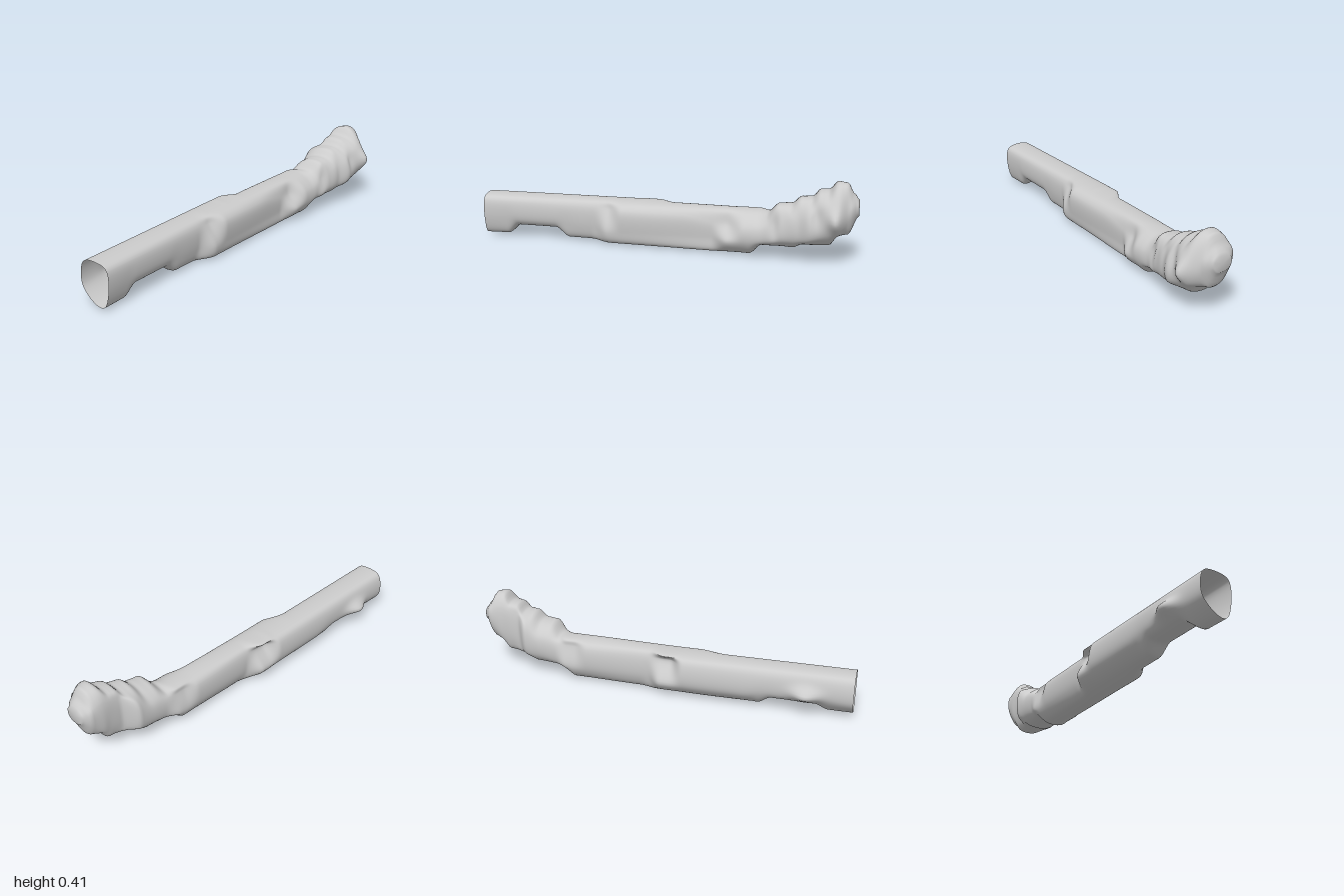
import * as THREE from 'three';

// Each track lists [z, value] from the open front end to the closed rear knob.
const tracks = {
  left: [[1, -0.165], [0.03, -0.165], [-0.05, -0.11], [-0.5, -0.11], [-0.58, -0.085], [-0.73, -0.085], [-0.8, -0.03], [-0.96, -0.03], [-1, 0.005]],
  right: [[1, -0.005], [0.38, -0.005], [0.29, 0.042], [-0.26, 0.042], [-0.36, 0.095], [-0.54, 0.1], [-0.6, 0.12], [-0.7, 0.135], [-0.78, 0.168], [-0.9, 0.168], [-0.96, 0.13], [-1, 0.095]],
  bottom: [[1, 0.006], [0.88, 0.008], [0.81, 0.057], [0.6, 0.057], [0.52, 0.008], [0.2, 0.004], [-0.46, 0.004], [-0.53, 0.057], [-0.68, 0.06], [-0.74, 0.085], [-0.86, 0.09], [-0.91, 0.14], [-0.95, 0.15], [-1, 0.24]],
  top: [[1, 0.214], [-0.55, 0.214], [-0.61, 0.263], [-0.67, 0.268], [-0.72, 0.305], [-0.77, 0.31], [-0.81, 0.345], [-0.85, 0.35], [-0.895, 0.395], [-0.94, 0.39], [-0.975, 0.34], [-1, 0.31]],
  bottomLeft: [[1, -0.085], [0.88, -0.09], [0.81, -0.135], [0.6, -0.135], [0.5, -0.1], [0, -0.09], [-0.1, -0.07], [-0.46, -0.06], [-0.7, -0.04], [-0.85, 0], [-1, 0.025]],
  bottomRight: [[1, -0.035], [0.4, -0.03], [0.28, 0.02], [-0.4, 0.035], [-0.6, 0.06], [-0.8, 0.1], [-0.95, 0.09], [-1, 0.075]],
  topLeft: [[1, -0.14], [0.05, -0.14], [-0.05, -0.09], [-0.5, -0.08], [-0.6, -0.02], [-0.85, -0.01], [-0.9, 0.015], [-1, 0.03]],
  topRight: [[1, -0.03], [0.35, -0.03], [0.2, 0], [-0.5, 0.02], [-0.6, 0.08], [-0.9, 0.095], [-1, 0.075]],
  highLeft: [[1, 0.18], [-0.5, 0.185], [-0.65, 0.21], [-0.8, 0.3], [-0.9, 0.335], [-0.96, 0.32], [-1, 0.295]],
  highRight: [[1, 0.19], [-0.1, 0.175], [-0.35, 0.145], [-0.5, 0.15], [-0.7, 0.22], [-0.88, 0.3], [-1, 0.295]],
  low: [[1, 0.08], [0.8, 0.09], [0.6, 0.09], [0.45, 0.07], [-0.45, 0.07], [-0.7, 0.11], [-0.88, 0.16], [-1, 0.26]],
};

// Smooth stepping between the entries of a track
function at(name, z) {
  const t = tracks[name];
  for (let i = 1; i < t.length; i++) {
    if (z >= t[i][0]) {
      const f = THREE.MathUtils.clamp((z - t[i][0]) / (t[i - 1][0] - t[i][0]), 0, 1);
      return THREE.MathUtils.lerp(t[i][1], t[i - 1][1], f * f * (3 - 2 * f));
    }
  }
  return t[t.length - 1][1];
}

const bump = (y, z, cy, cz, ry, rz) => Math.exp(-(((y - cy) / ry) ** 2) - ((z - cz) / rz) ** 2);

// Closed cross-section, counter-clockwise seen from the front
function section(z, sides) {
  const v = (name, dz = 0) => at(name, z + dz);
  // the side steps slant, so the upper side points lag behind the lower ones
  const slant = THREE.MathUtils.clamp((z + 0.7) / 0.2, 0, 1);
  const curve = new THREE.CatmullRomCurve3([
    [v('bottomRight'), v('bottom')],
    [v('right'), v('low')],
    [v('right', 0.08 * slant), v('highRight')],
    [v('topRight'), v('top')],
    [v('topLeft'), v('top')],
    [v('left', -0.12 * slant), v('highLeft')],
    [v('left'), v('low')],
    [v('bottomLeft'), v('bottom')],
  ].map(([x, y]) => new THREE.Vector3(x, y, z)), true, 'centripetal');
  const points = curve.getPoints(sides).slice(0, sides);
  for (const p of points) {
    // knot near the front, and the pointed knob and dents of the rear end
    if (p.x < -0.12) p.x -= 0.048 * bump(p.y, z, 0.11, 0.77, 0.035, 0.065);
    if (p.x > 0.11) p.x += 0.04 * bump(p.y, z, 0.23, -0.89, 0.05, 0.035);
    if (p.x > 0.1) p.x -= 0.02 * bump(p.y, z, 0.25, -0.8, 0.06, 0.03);
  }
  return points;
}

function createBranch() {
  const sides = 64, rings = 200;
  const positions = [], index = [];
  for (let i = 0; i <= rings; i++) {
    for (const p of section(1 - (2 * i) / rings, sides)) positions.push(p.x, p.y, p.z);
  }
  for (let i = 0; i < rings; i++) {
    for (let j = 0; j < sides; j++) {
      const a = i * sides + j, b = i * sides + (j + 1) % sides;
      index.push(a, a + sides, b, b, a + sides, b + sides);
    }
  }
  // closed rear end
  const centre = positions.length / 3, last = rings * sides;
  positions.push(0.05, 0.275, -1);
  for (let j = 0; j < sides; j++) index.push(last + j, centre, last + (j + 1) % sides);

  const geometry = new THREE.BufferGeometry();
  geometry.setAttribute('position', new THREE.Float32BufferAttribute(positions, 3));
  geometry.setIndex(index);
  geometry.computeVertexNormals();
  return geometry;
}

export function createModel() {
  const group = new THREE.Group();
  group.name = 'hollowBranch';
  const material = new THREE.MeshStandardMaterial({ color: 0xcccccc, side: THREE.DoubleSide });
  const branch = new THREE.Mesh(createBranch(), material);
  branch.name = 'branchShell';
  group.add(branch);
  return group;
}
